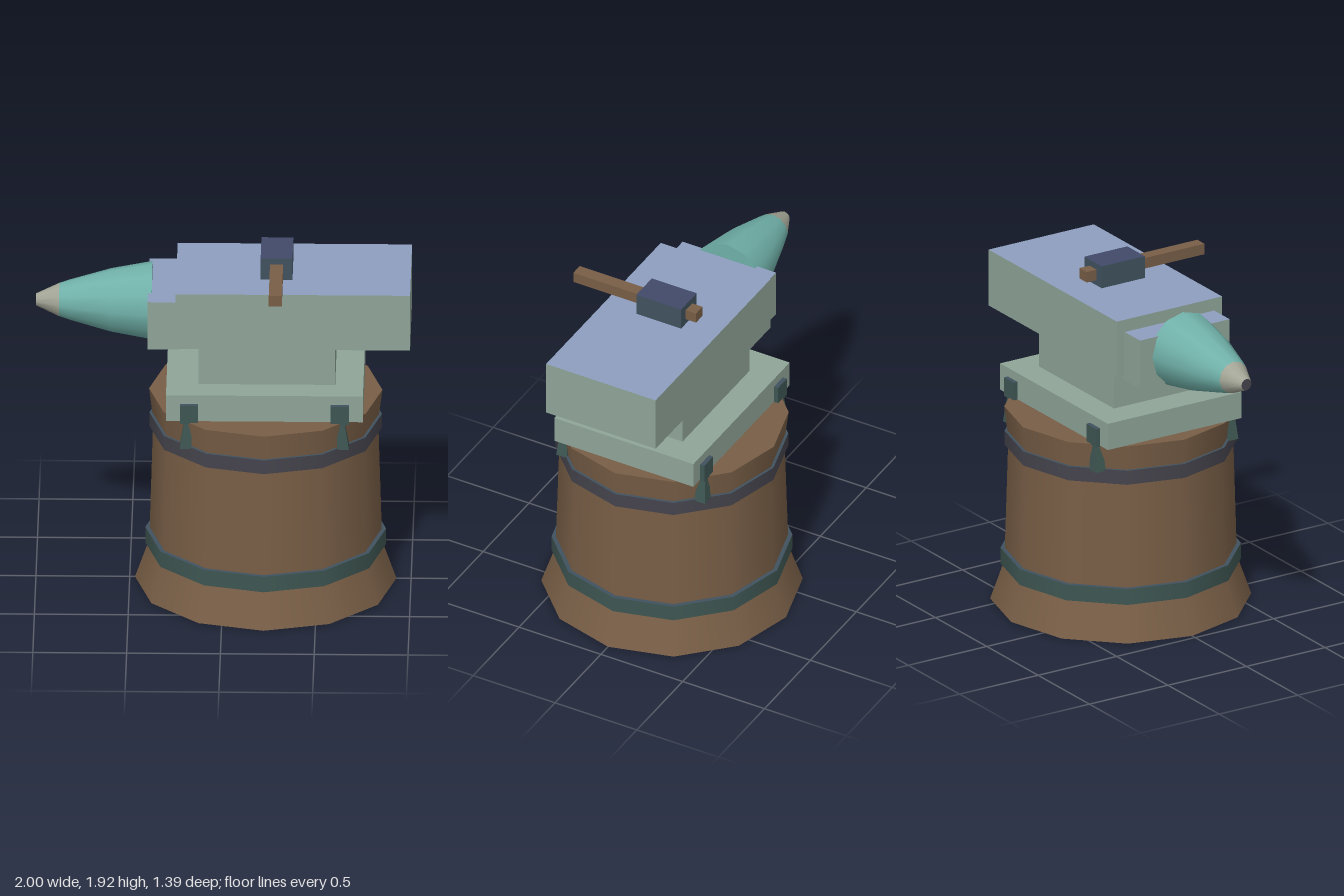
import * as THREE from 'three';

const mat = (name, color, extra = {}) => {
  const m = new THREE.MeshStandardMaterial({ color, ...extra });
  m.name = name;
  return m;
};

export function createModel() {
  const wood = mat('wood', 0x785e46);
  const greyIron = mat('greyIron', 0x45444d);
  const greenIron = mat('greenIron', 0x3e5652);
  const slate = mat('slate', 0x40525f);
  const navy = mat('navy', 0x414a6a);
  const steel = mat('steel', 0x8fa598);
  const blueSteel = mat('blueSteel', 0x8d9ebe);
  const teal = mat('teal', 0x70b1a9);
  const paleTip = mat('paleTip', 0xa3a596);

  const model = new THREE.Group();
  const CX = 0.225; // axis of the stump

  const add = (name, geometry, material, parent = model) => {
    const mesh = new THREE.Mesh(geometry, material);
    mesh.name = name;
    parent.add(mesh);
    return mesh;
  };
  // Box from its limits, with an optional separate material for the top
  const box = (name, [x0, x1], [y0, y1], [z0, z1], side, top = side, parent = model) => {
    const g = new THREE.BoxGeometry(x1 - x0, y1 - y0, z1 - z0);
    g.translate((x0 + x1) / 2, (y0 + y1) / 2, (z0 + z1) / 2);
    return add(name, g, top === side ? side : [side, side, top, side, side, side], parent);
  };

  // Twelve-sided stump, one ring per section so the section edges stay sharp
  const stump = new THREE.Group();
  stump.name = 'stump';
  stump.position.x = CX;
  model.add(stump);
  const section = (name, y0, r0, y1, r1, material, open = true) => {
    const g = new THREE.CylinderGeometry(r1, r0, y1 - y0, 12, 1, open);
    g.translate(0, (y0 + y1) / 2, 0);
    return add(name, g, material, stump);
  };
  section('stumpFoot', 0, 0.697, 0.24, 0.613, wood, true);
  section('stumpBody', 0.24, 0.62, 0.92, 0.6, wood, true);
  section('stumpRim', 0.92, 0.6, 1.1, 0.622, wood, true);
  for (const [name, y, r, turn] of [['stumpTop', 1.1, 0.622, -1], ['stumpUnderside', 0, 0.697, 1]]) {
    // the disc starts a corner on the x axis, matching the rings
    const disc = new THREE.CircleGeometry(r, 12).rotateX(turn * Math.PI / 2).translate(0, y, 0);
    add(name, disc, wood, stump);
  }
  section('lowerBand', 0.2, 0.642, 0.29, 0.642, [greenIron, slate, greenIron], false);
  section('upperBand', 0.88, 0.62, 0.96, 0.62, [greyIron, slate, greyIron], false);

  // Anvil
  box('anvilBase', [-0.3, 0.75], [1.1, 1.25], [-0.425, 0.425], steel);
  box('anvilWaist', [-0.13, 0.6], [1.25, 1.48], [-0.275, 0.275], steel);
  box('anvilBody', [-0.25, 1], [1.48, 1.8], [-0.335, 0.335], steel, blueSteel);
  box('hornBlock', [-0.4, -0.23], [1.455, 1.73], [-0.285, 0.285], steel, blueSteel);

  // Horn, turned to point along -x
  const horn = new THREE.Group();
  horn.name = 'horn';
  horn.position.y = 1.615;
  horn.rotation.z = Math.PI / 2;
  model.add(horn);
  const lathe = (name, pts, material) =>
    add(name, new THREE.LatheGeometry(pts.map(p => new THREE.Vector2(...p)), 12), material, horn);
  lathe('hornCone', [[0.21, 0.38], [0.17, 0.6], [0.108, 0.82], [0.09, 0.875]], teal);
  lathe('hornBack', [[0, 0.38], [0.21, 0.38]], teal);
  lathe('hornTip', [[0.09, 0.875], [0.032, 1]], paleTip);
  lathe('hornEnd', [[0.032, 1], [0, 1]], greyIron);

  // Four clips: a plate on the base and a spike widening towards its foot
  for (const sx of [-1, 1]) for (const sz of [-1, 1]) {
    const clip = new THREE.Group();
    clip.name = 'clip';
    model.add(clip);
    const span = (c, s, a, b) => [c + s * a, c + s * b].sort((p, q) => p - q);
    box('clipPlate', span(CX, sx, 0.353, 0.45), [1.095, 1.2], span(0, sz, 0.405, 0.45),
      greenIron, slate, clip);
    const g = new THREE.BoxGeometry(1, 0.15, 1);
    const p = g.attributes.position;
    for (let i = 0; i < p.count; i++) {
      const foot = p.getY(i) < 0;
      p.setX(i, CX + sx * (foot ? 0.42 : 0.407) + p.getX(i) * (foot ? 0.062 : 0.042));
      p.setZ(i, sz * (foot ? 0.422 : 0.42) + p.getZ(i) * (foot ? 0.066 : 0.045));
      p.setY(i, foot ? 0.95 : 1.1);
    }
    g.computeVertexNormals();
    add('clipSpike', g, greenIron, clip);
  }

  // Hammer lying on the anvil
  const hammer = new THREE.Group();
  hammer.name = 'hammer';
  model.add(hammer);
  box('hammerHead', [0.2, 0.37], [1.8, 1.925], [-0.137, 0.137], slate, navy, hammer);
  box('hammerHandle', [0.25, 0.32], [1.83, 1.89], [-0.2, 0.55], wood, wood, hammer);

  return model;
}
